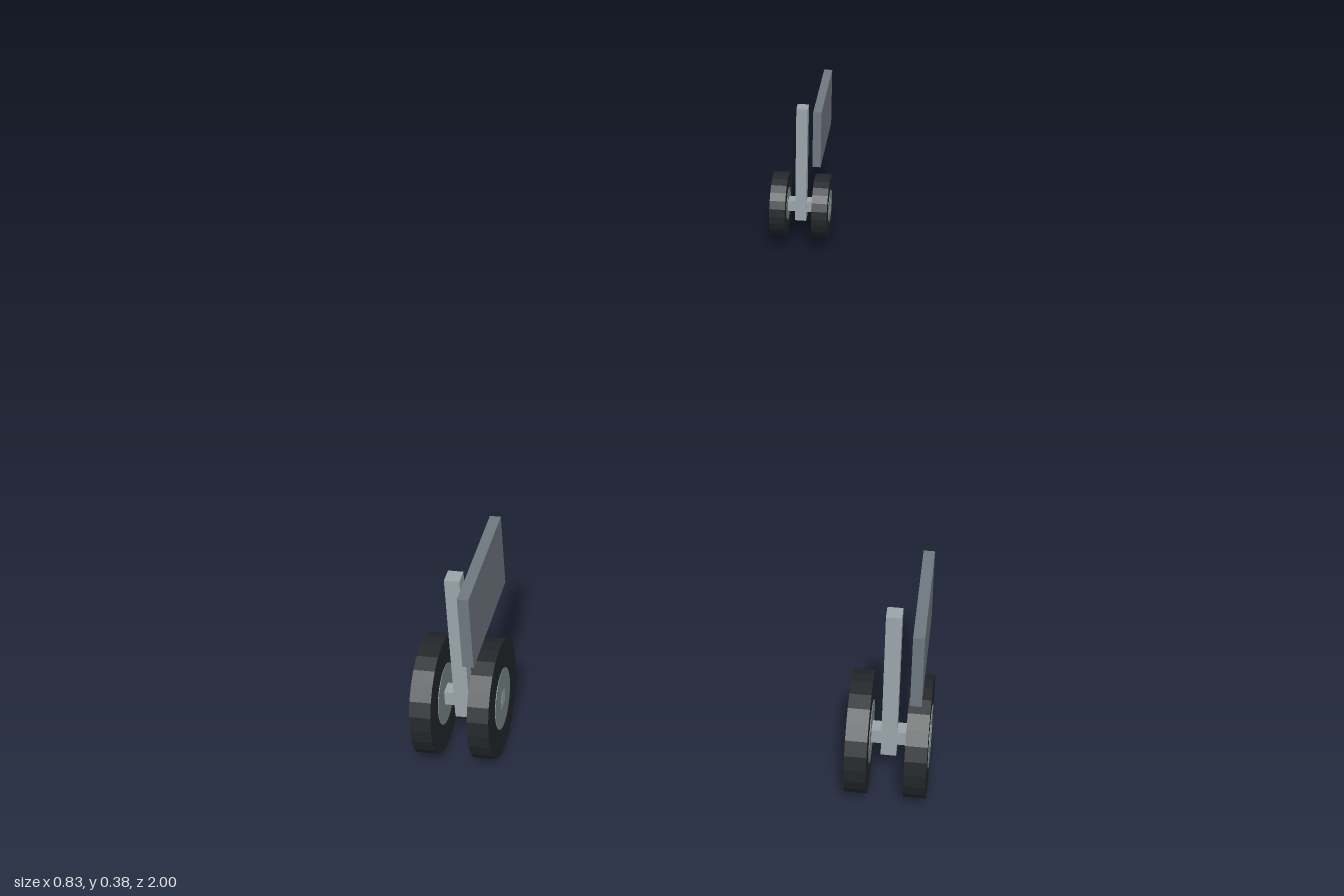
import * as THREE from 'three';

const mat = (color) => new THREE.MeshStandardMaterial({ color, flatShading: true });

export function createModel() {
  const rubber = mat(0x24282b), hubMetal = mat(0x7c898c);
  const strutMetal = mat(0x9aa5aa), doorPaint = mat(0x6f7880);
  const AXLE_Y = 0.098;

  const add = (parent, name, geometry, material, x, y, z = 0) => {
    const mesh = new THREE.Mesh(geometry, material);
    mesh.name = name;
    mesh.position.set(x, y, z);
    parent.add(mesh);
    return mesh;
  };
  // Cylinder lying along x
  const disc = (r, w) => new THREE.CylinderGeometry(r, r, w, 24).rotateZ(Math.PI / 2);

  // One landing gear unit: strut, axle, twin wheels and a bay door
  const makeGear = (name, x, z, radius) => {
    const gear = new THREE.Group();
    gear.name = name;
    gear.position.set(x, 0, z);
    add(gear, 'strut', new THREE.BoxGeometry(0.025, 0.276, 0.027), strutMetal, 0, 0.201);
    add(gear, 'axle', new THREE.BoxGeometry(0.132, 0.025, 0.025), strutMetal, 0, AXLE_Y);
    for (const side of [-1, 1]) {
      const wheel = new THREE.Group();
      wheel.name = side > 0 ? 'leftWheel' : 'rightWheel';
      wheel.position.set(side * 0.047, AXLE_Y, 0);
      add(wheel, 'tire', disc(radius, 0.035), rubber, 0, 0);
      add(wheel, 'hub', disc(radius * 0.52, 0.037), hubMetal, 0, 0);
      gear.add(wheel);
    }
    add(gear, 'bayDoor', new THREE.BoxGeometry(0.018, 0.131, 0.222), doorPaint, 0.044, 0.315);
    return gear;
  };

  const model = new THREE.Group();
  model.name = 'landingGear';
  model.add(
    makeGear('leftMainGear', 0.348, 0.889, 0.098),
    makeGear('rightMainGear', -0.348, 0.889, 0.098),
    makeGear('noseGear', 0, -0.889, 0.071),
  );
  return model;
}
